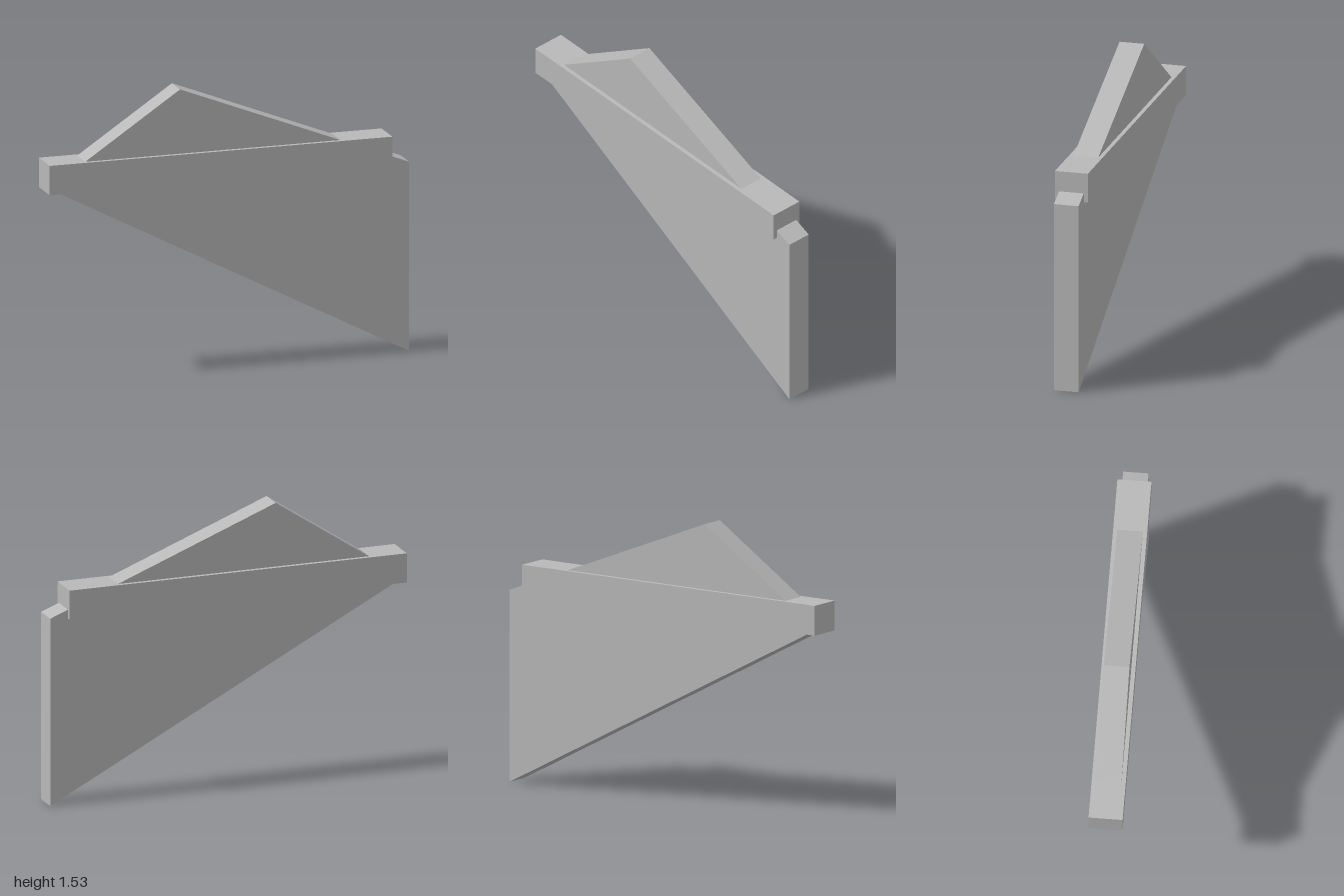
import * as THREE from 'three';

export function createModel() {
  const model = new THREE.Group();
  model.name = 'wedgePanelWithBeam';

  const grey = new THREE.MeshStandardMaterial({ color: 0xb8b8b8 });
  grey.name = 'light grey';

  // Four-sided upright panel, its left tip hidden inside the beam
  const outline = new THREE.Shape([
    [1, 0], [1, 1.03], [-0.27, 1.53], [-0.995, 1.047],
  ].map(([x, y]) => new THREE.Vector2(x, y)));
  const thickness = 0.135;
  const panelGeometry = new THREE.ExtrudeGeometry(outline, { depth: thickness, bevelEnabled: false });
  panelGeometry.translate(0, 0, -thickness / 2);
  const panel = new THREE.Mesh(panelGeometry, grey);
  panel.name = 'panel';

  // Horizontal beam wrapped around the panel
  const beam = new THREE.Mesh(new THREE.BoxGeometry(1.9, 0.16, 0.18), grey);
  beam.name = 'beam';
  beam.position.set(-0.05, 1.1, 0);

  model.add(panel, beam);
  return model;
}
